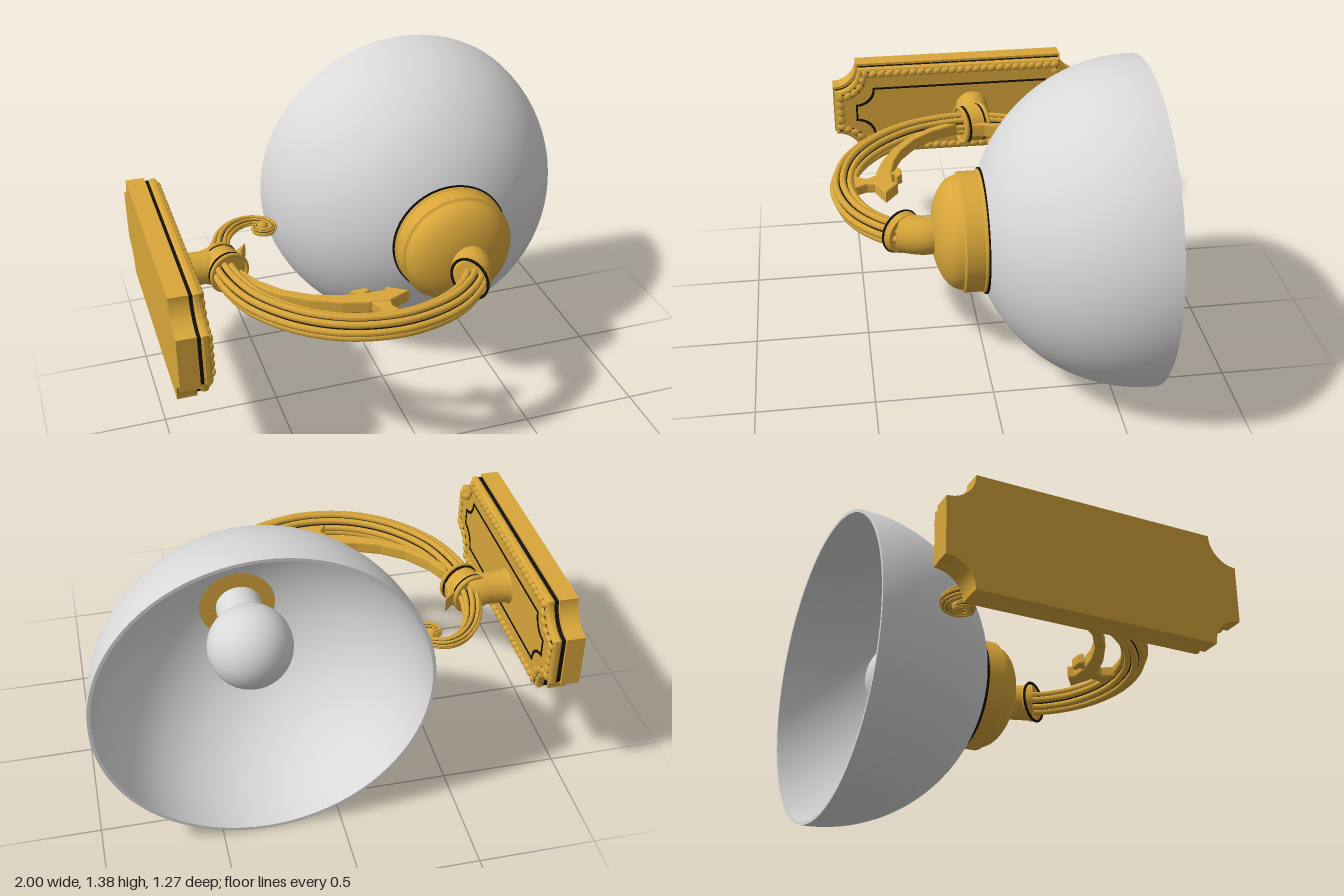
import * as THREE from 'three';
import { mergeGeometries, toCreasedNormals } from 'three/addons/utils/BufferGeometryUtils.js';

const MID = 0.685; // height of the arm, cup and wall plate
const gold = new THREE.MeshStandardMaterial({ color: 0xd8a63a });
gold.name = 'gold';
const dark = new THREE.MeshStandardMaterial({ color: 0x14110c });
dark.name = 'dark groove';
const glass = new THREE.MeshStandardMaterial({ color: 0xd9d9d9 });
glass.name = 'white glass';

const V = (x, y, z) => new THREE.Vector3(x, y, z);
const curve = (pts) => new THREE.CatmullRomCurve3(pts.map(([x, z]) => V(x, 0, z)), false, 'centripetal');

export function createModel() {
  const root = new THREE.Group();
  root.name = 'wallLamp';

  const add = (name, geo, mat, x = 0, y = MID, z = 0) => {
    const m = new THREE.Mesh(geo, mat);
    m.name = name;
    m.position.set(x, y, z);
    root.add(m);
    return m;
  };

  // Turned part with its axis along z; profile is [radius, z]
  const turned = (pts, seg = 64) => toCreasedNormals(
    new THREE.LatheGeometry(pts.map(([r, z]) => new THREE.Vector2(r, z)), seg).rotateX(Math.PI / 2), 0.6);

  // Round tube along a flat path, with varying radius and an optional offset round the path
  const sweep = (path, radius, steps, sides, angle = 0, offset = () => 0) => {
    const pos = [], idx = [];
    for (let i = 0; i <= steps; i++) {
      const t = i / steps, p = path.getPointAt(t), d = path.getTangentAt(t);
      const n = V(d.z, 0, -d.x), o = offset(t), r = radius(t);
      for (let j = 0; j < sides; j++) {
        const a = (j / sides) * Math.PI * 2;
        const u = Math.cos(angle) * o + Math.cos(a) * r;
        pos.push(p.x + n.x * u, Math.sin(angle) * o + Math.sin(a) * r, p.z + n.z * u);
        if (i < steps) {
          const k = i * sides, j2 = (j + 1) % sides;
          idx.push(k + j, k + j2, k + sides + j, k + j2, k + sides + j2, k + sides + j);
        }
      }
    }
    const g = new THREE.BufferGeometry();
    g.setAttribute('position', new THREE.Float32BufferAttribute(pos, 3));
    g.setIndex(idx);
    g.computeVertexNormals();
    return g;
  };

  // Wall plate: rectangle with scooped corners
  const PZ = -0.027;
  const scooped = (l, h, n, C = THREE.Shape) => {
    const s = new C();
    s.moveTo(-l + n, -h);
    s.lineTo(l - n, -h);
    s.absarc(l, -h, n, Math.PI, Math.PI / 2, true);
    s.lineTo(l, h - n);
    s.absarc(l, h, n, -Math.PI / 2, -Math.PI, true);
    s.lineTo(-l + n, h);
    s.absarc(-l, h, n, 0, -Math.PI / 2, true);
    s.lineTo(-l, -h + n);
    s.absarc(-l, -h, n, Math.PI / 2, 0, true);
    return s;
  };
  const slab = (shape, depth, bevel = 0) => new THREE.ExtrudeGeometry(shape, {
    depth, curveSegments: 10, bevelEnabled: bevel > 0, bevelSize: bevel, bevelThickness: bevel,
    bevelOffset: -bevel, bevelSegments: 2,
  }).rotateY(Math.PI / 2);
  add('wallPlateBase', slab(scooped(0.6125, 0.2325, 0.115), 0.08), gold, -1, MID, PZ);
  add('wallPlateGroove', slab(scooped(0.602, 0.222, 0.115), 0.016), dark, -0.92, MID, PZ);
  add('wallPlateFront', slab(scooped(0.606, 0.226, 0.115), 0.014, 0.012), gold, -0.894, MID, PZ);
  const line = scooped(0.507, 0.128, 0.085);
  line.holes.push(scooped(0.498, 0.119, 0.085, THREE.Path));
  add('panelLine', slab(line, 0.004), dark, -0.869, MID, PZ);

  // Carved border of slanted beads, with a dark seat below them
  const border = scooped(0.59, 0.21, 0.115);
  border.holes.push(scooped(0.568, 0.188, 0.115, THREE.Path));
  add('borderSeat', slab(border, 0.003), dark, -0.869, MID, PZ);
  const beadLine = scooped(0.579, 0.199, 0.115);
  beadLine.closePath();
  const beadPts = beadLine.getSpacedPoints(76);
  const beads = beadPts.slice(0, -1).map((p, i) => {
    const q = beadPts[i + 1];
    const g = new THREE.SphereGeometry(1, 8, 6).scale(0.025, 0.017, 0.013);
    g.rotateZ(Math.atan2(q.y - p.y, q.x - p.x) + 0.35);
    return g.translate(p.x, p.y, 0).rotateY(Math.PI / 2);
  });
  add('carvedBorder', mergeGeometries(beads), gold, -0.867, MID, PZ);

  // Stem from the plate to the clamp
  const stem = new THREE.LatheGeometry([[0.085, -0.01], [0.072, 0.02], [0.07, 0.1], [0.078, 0.13], [0.07, 0.19]]
    .map(([r, h]) => new THREE.Vector2(r, h)), 32).rotateZ(-Math.PI / 2);
  add('wallStem', stem, gold, -0.87, MID, -0.085);

  // Ribbed arm: dark core with gold ribs, thinning into a scroll
  const arm = curve([[0.31, 0.31], [0.25, 0.41], [0.14, 0.505], [0, 0.56], [-0.14, 0.573], [-0.315, 0.535],
    [-0.475, 0.435], [-0.61, 0.27], [-0.67, 0.11], [-0.69, -0.05], [-0.67, -0.21], [-0.62, -0.33],
    [-0.555, -0.395], [-0.49, -0.413], [-0.425, -0.385], [-0.402, -0.33], [-0.435, -0.288],
    [-0.478, -0.31], [-0.475, -0.345], [-0.45, -0.345]]);
  const size = (t) => 1 - 0.66 * THREE.MathUtils.smoothstep(t, 0.6, 0.95);
  add('armCore', sweep(arm, (t) => 0.041 * size(t), 150, 12), dark);
  const ribs = [];
  for (let i = 0; i < 8; i++) {
    ribs.push(sweep(arm, (t) => 0.0145 * size(t), 150, 8, (i / 8) * Math.PI * 2, (t) => 0.043 * size(t)));
  }
  add('armRibs', mergeGeometries(ribs), gold);
  add('scrollTip', new THREE.SphereGeometry(0.026, 16, 12), gold, -0.447, MID, -0.342);

  // Clamp round the arm, and collar at its lamp end
  const band = (name, geo, mat, dir, x, z) =>
    add(name, geo, mat, x, MID, z).quaternion.setFromUnitVectors(V(0, 1, 0), dir);
  const ring = (r, t) => new THREE.TorusGeometry(r, t, 8, 40).rotateX(Math.PI / 2);
  const clampDir = V(0.28, 0, 0.96).normalize();
  band('clampBand', new THREE.CylinderGeometry(0.082, 0.088, 0.1, 36), gold, clampDir, -0.685, -0.06);
  for (const s of [-1, 1]) {
    band('clampEdge', ring(0.083, 0.009), gold, clampDir, -0.685 + s * 0.015, -0.06 + s * 0.052);
    band('clampLine', ring(0.083, 0.006), dark, clampDir, -0.685 + s * 0.01, -0.06 + s * 0.036);
  }
  const neckPath = curve([[0.305, 0.2], [0.312, 0.26], [0.275, 0.35]]);
  add('armNeck', sweep(neckPath, (t) => 0.076 + 0.006 * t, 16, 32), gold);
  const collarDir = V(-0.82, 0, 0.57).normalize();
  band('collar', new THREE.CylinderGeometry(0.092, 0.084, 0.03, 36), gold, collarDir, 0.277, 0.346);
  band('collarLine', ring(0.09, 0.006), dark, collarDir, 0.263, 0.356);

  // Leaf sprays lying flat beside the arm
  const flat = (name, pts, depth) => {
    const [first, ...rest] = pts.map(([x, z]) => new THREE.Vector2(x, z));
    const s = new THREE.Shape().moveTo(first.x, first.y);
    rest.forEach((p) => s.lineTo(p.x, p.y));
    const g = new THREE.ExtrudeGeometry(s, { depth, bevelEnabled: true, bevelSize: 0.006,
      bevelThickness: 0.008, bevelOffset: -0.004, bevelSegments: 2 }).rotateX(Math.PI / 2);
    add(name, g, gold, 0, MID + depth / 2);
  };
  flat('leaf', [[-0.63, 0.02], [-0.58, 0.13], [-0.5, 0.23], [-0.4, 0.3], [-0.3, 0.34], [-0.2, 0.36],
    [-0.11, 0.36], [-0.095, 0.34], [-0.02, 0.395], [-0.11, 0.435], [-0.2, 0.425], [-0.3, 0.395],
    [-0.42, 0.335], [-0.52, 0.26], [-0.6, 0.16], [-0.64, 0.08]], 0.04);
  flat('leafBud', [[-0.25, 0.33], [-0.23, 0.315], [-0.18, 0.315], [-0.165, 0.335], [-0.19, 0.345],
    [-0.185, 0.37], [-0.215, 0.37], [-0.215, 0.345]], 0.03);
  flat('leafFoot', [[-0.19, 0.42], [-0.11, 0.43], [-0.115, 0.47], [-0.09, 0.52], [-0.19, 0.52], [-0.16, 0.47]], 0.03);
  flat('clampLeaf', [[-0.64, -0.1], [-0.61, -0.13], [-0.565, -0.17], [-0.595, -0.11], [-0.6, -0.04], [-0.64, -0.04]], 0.05);

  // Cup that holds the shade
  const CX = 0.302;
  const cup = [[0, 0.02], [0.255, 0.02], [0.255, 0.035], [0.249, 0.04], [0.249, 0.115], [0.238, 0.122]];
  for (let i = 1; i <= 10; i++) {
    const a = (i / 10) * 1.2;
    cup.push([0.235 * Math.cos(a), 0.122 + 0.115 * Math.sin(a)]);
  }
  cup.push([0, 0.232]);
  add('shadeCup', turned(cup), gold, CX);
  add('cupRim', turned([[0.2, 0.016], [0.261, 0.016], [0.261, 0.028], [0.2, 0.028]]), dark, CX);

  // Half-round glass shade with inner and outer walls
  const R = 0.69, shade = [];
  for (let i = 0; i <= 40; i++) {
    const a = (i / 40) * 1.22;
    shade.push([R * Math.cos(a), -0.62 + R * Math.sin(a)]);
  }
  for (let i = 40; i >= 0; i--) {
    const a = (i / 40) * Math.PI / 2;
    shade.push([(R - 0.014) * Math.cos(a), -0.62 + (R - 0.03) * Math.sin(a)]);
  }
  shade.push([R - 0.014, -0.635], [R, -0.635], [R, -0.62]);
  add('glassShade', turned(shade, 80), glass, 0.308, 0.69);

  // Bulb and its neck
  add('bulb', new THREE.SphereGeometry(0.18, 40, 28), glass, CX, MID, -0.26);
  add('bulbNeck', turned([[0.09, -0.16], [0.1, -0.08], [0.1, 0.03]], 32), glass, CX);

  return root;
}
